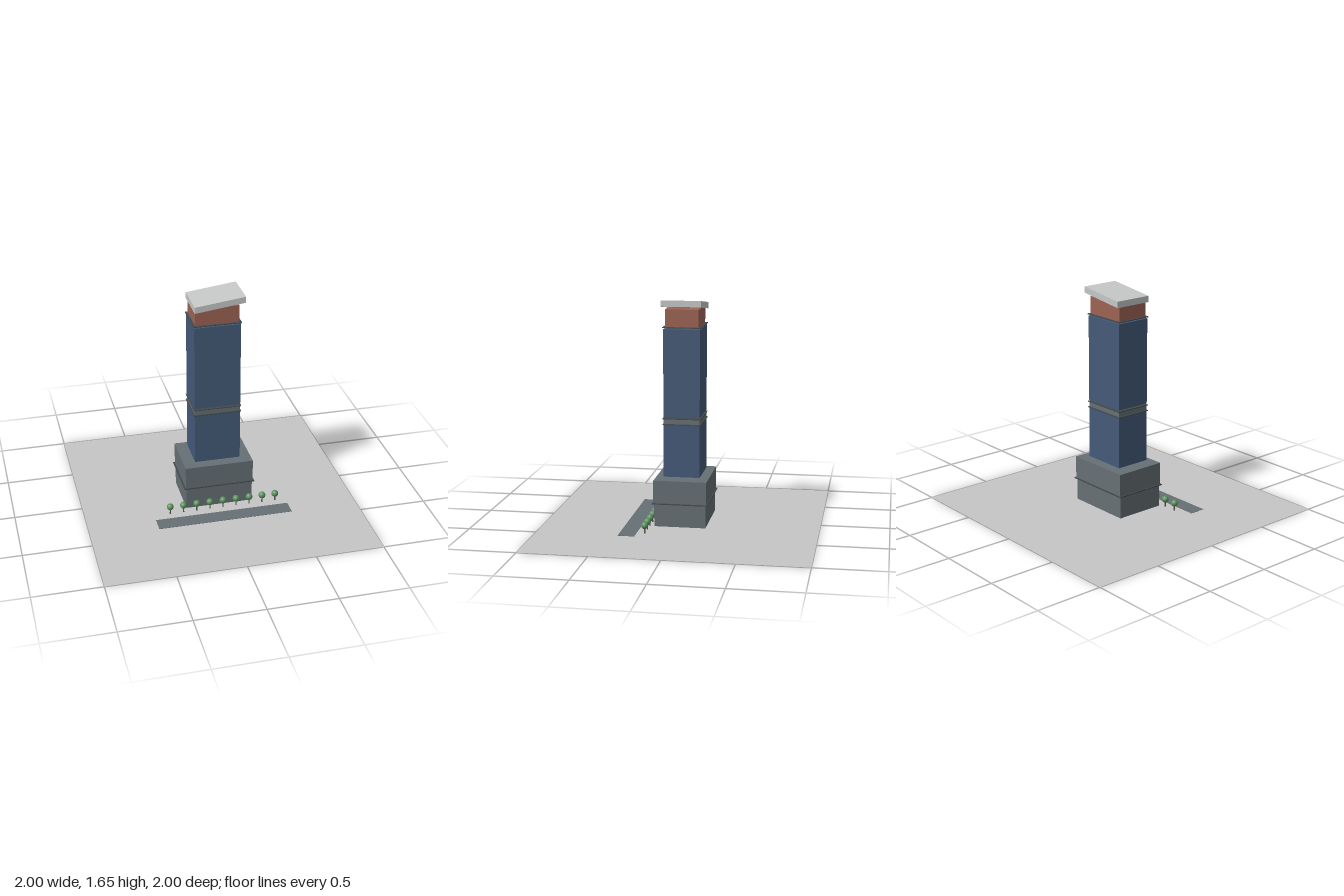
import * as THREE from 'three';

const mat = (name, color, side = THREE.FrontSide) => {
  const m = new THREE.MeshStandardMaterial({ color, side });
  m.name = name;
  return m;
};

export function createModel() {
  const model = new THREE.Group();
  model.name = 'towerSite';

  const paving = mat('pavingGrey', 0xc6c6c6, THREE.DoubleSide);
  const stone = mat('stoneGrey', 0x667074);
  const glass = mat('glassBlue', 0x445a78);
  const brick = mat('brickRed', 0x9c6353);
  const roofing = mat('roofGrey', 0xc6c8c8);
  const dark = mat('ledgeDark', 0x434a4d);
  const leaf = mat('leafGreen', 0x5c935f);
  const bark = mat('bark', 0x59584a);

  const add = (name, geometry, material, parent = model) => {
    const mesh = new THREE.Mesh(geometry, material);
    mesh.name = name;
    parent.add(mesh);
    return mesh;
  };
  // Box centred on the tower axis, between two heights
  const block = (name, w, d, y0, y1, material, x = 0, z = 0) => {
    const mesh = add(name, new THREE.BoxGeometry(w, y1 - y0, d), material);
    mesh.position.set(x, (y0 + y1) / 2, z);
    return mesh;
  };

  // Site: paved plane and road strip
  const ground = add('ground', new THREE.PlaneGeometry(2, 2).rotateX(-Math.PI / 2), paving);
  ground.position.y = 0.001;
  block('road', 1, 0.12, 0, 0.003, stone, 0, 0.345);

  // Podium of two storeys with a ledge between
  block('podiumLower', 0.5, 0.374, 0.01, 0.176, stone);
  block('podiumLedge', 0.53, 0.404, 0.176, 0.183, dark);
  block('podiumUpper', 0.508, 0.386, 0.183, 0.35, stone);

  // Tower shafts and the service floor between them
  block('shaftLower', 0.338, 0.264, 0.362, 0.743, glass);
  block('serviceFloor', 0.336, 0.262, 0.752, 0.787, stone);
  block('shaftUpper', 0.338, 0.264, 0.802, 1.437, glass);
  block('crown', 0.318, 0.242, 1.452, 1.578, brick);
  for (const y of [0.744, 0.787, 1.446])
    block('ledge', 0.35, 0.276, y, y + 0.006, dark);

  // Core and columns showing in the shadow gaps
  block('core', 0.074, 0.1, 0, 1.46, dark);
  for (const side of [-1, 1])
    for (const y of [0.785, 1.43])
      block('coreColumn', 0.04, 0.1, y, y + 0.022, dark, side * 0.07);

  // Sloping roof slab
  const profile = new THREE.Shape([
    [-0.166, 1.554], [0.2, 1.601], [0.2, 1.646], [-0.166, 1.6],
  ].map(([x, y]) => new THREE.Vector2(x, y)));
  const roof = add('roof', new THREE.ExtrudeGeometry(profile, { depth: 0.286, bevelEnabled: false }), roofing);
  roof.position.z = -0.143;

  // Row of street trees
  const crownGeo = new THREE.SphereGeometry(0.026, 12, 8);
  const trunkGeo = new THREE.CylinderGeometry(0.004, 0.005, 0.04, 8);
  for (let i = 0; i < 9; i++) {
    const tree = new THREE.Group();
    tree.name = 'tree';
    tree.position.set(-0.38 + i * 0.1, 0, 0.224);
    add('trunk', trunkGeo, bark, tree).position.y = 0.023;
    add('foliage', crownGeo, leaf, tree).position.y = 0.062;
    model.add(tree);
  }
  return model;
}
